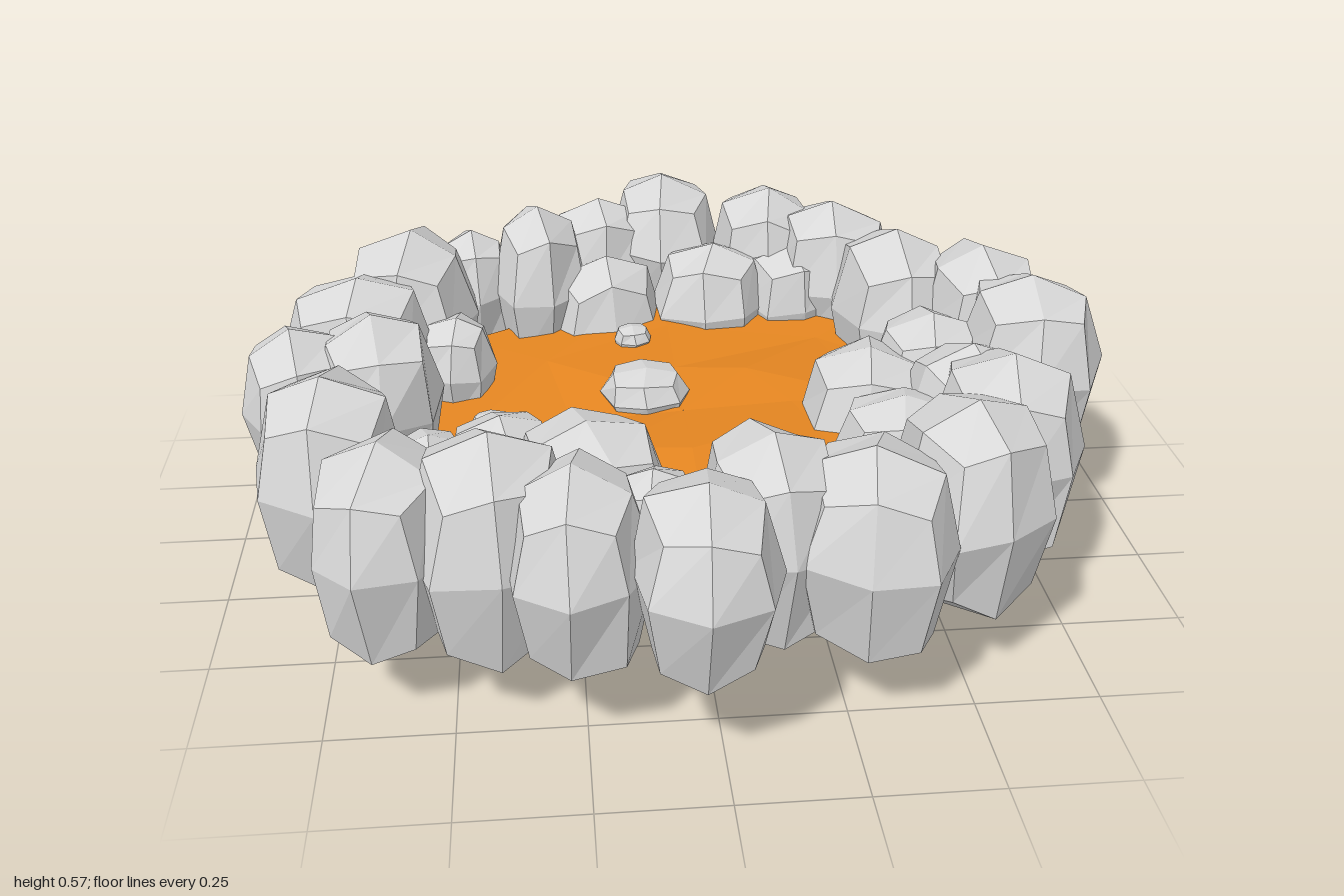
import * as THREE from 'three';

// Repeatable value in -1..1 for a grid point and a seed
function noise(x, y, z, seed) {
  const s = Math.sin(x * 12.99 + y * 78.23 + z * 37.72 + seed * 4.17) * 43758.55;
  return (s - Math.floor(s)) * 2 - 1;
}

// Each row: x, z, half width, half depth, top, bottom
const OUTER = [
  [0.02, -0.81, 0.14, 0.2, 0.57, 0.2], [0.28, -0.71, 0.14, 0.19, 0.56, 0.15],
  [0.44, -0.61, 0.15, 0.18, 0.56, 0.12], [0.55, -0.38, 0.15, 0.21, 0.56, 0.13],
  [0.73, -0.25, 0.14, 0.19, 0.57, 0.14], [0.79, -0.03, 0.16, 0.19, 0.58, 0.15],
  [0.65, 0.3, 0.16, 0.2, 0.55, 0.09], [0.52, 0.52, 0.15, 0.2, 0.56, 0.1],
  [0.3, 0.67, 0.16, 0.19, 0.55, 0.1], [0.11, 0.62, 0.14, 0.18, 0.56, 0.11],
  [-0.03, 0.81, 0.14, 0.18, 0.57, 0.17], [-0.26, 0.71, 0.14, 0.19, 0.56, 0.13],
  [-0.42, 0.6, 0.16, 0.2, 0.57, 0.1], [-0.62, 0.58, 0.14, 0.19, 0.55, 0.11],
  [-0.74, 0.33, 0.16, 0.19, 0.57, 0.11], [-0.84, 0.03, 0.12, 0.17, 0.54, 0.16],
  [-0.67, 0.02, 0.14, 0.18, 0.56, 0.13], [-0.73, -0.25, 0.17, 0.18, 0.54, 0.14],
  [-0.62, -0.46, 0.16, 0.2, 0.57, 0.12], [-0.31, -0.63, 0.12, 0.19, 0.56, 0.12],
];
const INNER = [
  [-0.15, -0.76, 0.13, 0.15, 0.53, 0.14], [-0.15, -0.56, 0.15, 0.15, 0.45, 0.01],
  [0.12, -0.56, 0.14, 0.15, 0.47, 0.14], [0.32, -0.57, 0.12, 0.13, 0.46, 0.15],
  [0.41, 0.04, 0.15, 0.17, 0.45, 0.13], [0.57, -0.07, 0.13, 0.15, 0.48, 0.16],
  [0.61, 0.15, 0.14, 0.15, 0.5, 0.15], [0.44, 0.26, 0.15, 0.13, 0.44, 0.15],
  [-0.11, 0.56, 0.09, 0.1, 0.46, 0.2], [-0.22, 0.4, 0.16, 0.17, 0.48, 0.13],
  [-0.4, 0.28, 0.12, 0.12, 0.44, 0.17], [-0.55, 0.31, 0.09, 0.12, 0.42, 0.18],
  [-0.51, -0.25, 0.09, 0.12, 0.43, 0.18], [-0.48, -0.63, 0.1, 0.12, 0.5, 0.16],
];
const PEBBLES = [
  [-0.08, -0.09, 0.1, 0.1, 0.36, 0.23], [-0.09, -0.37, 0.045, 0.05, 0.34, 0.27],
  [-0.43, -0.03, 0.05, 0.045, 0.29, 0.22],
];

// Faceted boulder: a subdivided cube rounded off and roughened, blockier underneath
function rock([x, z, w, d, top, bottom], seed, material, name) {
  const geo = new THREE.BoxGeometry(2, 2, 2, 2, 2, 2);
  const p = geo.attributes.position;
  const mid = bottom + (top - bottom) * 0.55;
  const yaw = noise(1, 2, 3, seed) * 0.3;
  const v = new THREE.Vector3();
  for (let i = 0; i < p.count; i++) {
    v.fromBufferAttribute(p, i).round();
    const n = [0, 1, 2].map((k) => noise(v.x, v.y, v.z, seed + k * 31) * 0.055);
    const onAxis = v.lengthSq() === 1;
    v.normalize().multiplyScalar(onAxis ? 1 : 1.07);
    if (!onAxis) v.y += n[1];
    v.x += n[0];
    v.z += n[2];
    v.applyAxisAngle(THREE.Object3D.DEFAULT_UP, yaw);
    const y = v.y > 0 ? v.y * (top - mid) : -Math.pow(-v.y, 0.85) * (mid - bottom);
    p.setXYZ(i, v.x * w, y, v.z * d);
  }
  const flat = geo.toNonIndexed();
  flat.computeVertexNormals();
  const mesh = new THREE.Mesh(flat, material);
  mesh.position.set(x, mid, z);
  mesh.name = name;
  return mesh;
}

// Gently uneven low-poly sheet of lava, dipping towards -x
function lavaPool(material) {
  const sides = 8;
  const ring = new THREE.RingGeometry(0.001, 0.7, sides, 3).rotateX(-Math.PI / 2);
  const p = ring.attributes.position;
  for (let i = 0; i < p.count; i++) {
    const level = Math.floor(i / (sides + 1));
    const col = level === 0 ? 0 : i % (sides + 1) % sides;
    const r = 1 + (level < 3 ? noise(level, col, 5, 2) * 0.1 : 0);
    const x = p.getX(i) * r;
    const y = 0.305 + 0.08 * Math.min(x, 0) + noise(level, col, 1, 8) * 0.014;
    p.setXYZ(i, x, y, p.getZ(i) * r);
  }
  const flat = ring.toNonIndexed();
  flat.computeVertexNormals();
  const mesh = new THREE.Mesh(flat, material);
  mesh.name = 'lavaPool';
  return mesh;
}

export function createModel() {
  const stone = new THREE.MeshStandardMaterial({ color: 0xd8d8d8 });
  stone.name = 'stone grey';
  const lava = new THREE.MeshStandardMaterial({ color: 0xe58621 });
  lava.name = 'lava orange';
  lava.side = THREE.DoubleSide;

  const model = new THREE.Group();
  model.name = 'lavaPit';
  model.add(lavaPool(lava));
  const sets = { outerRock: OUTER, innerRock: INNER, pebble: PEBBLES };
  let seed = 1;
  for (const [name, rows] of Object.entries(sets)) {
    const group = new THREE.Group();
    group.name = name + 's';
    for (const row of rows) group.add(rock(row, seed++, stone, name));
    model.add(group);
  }
  return model;
}
